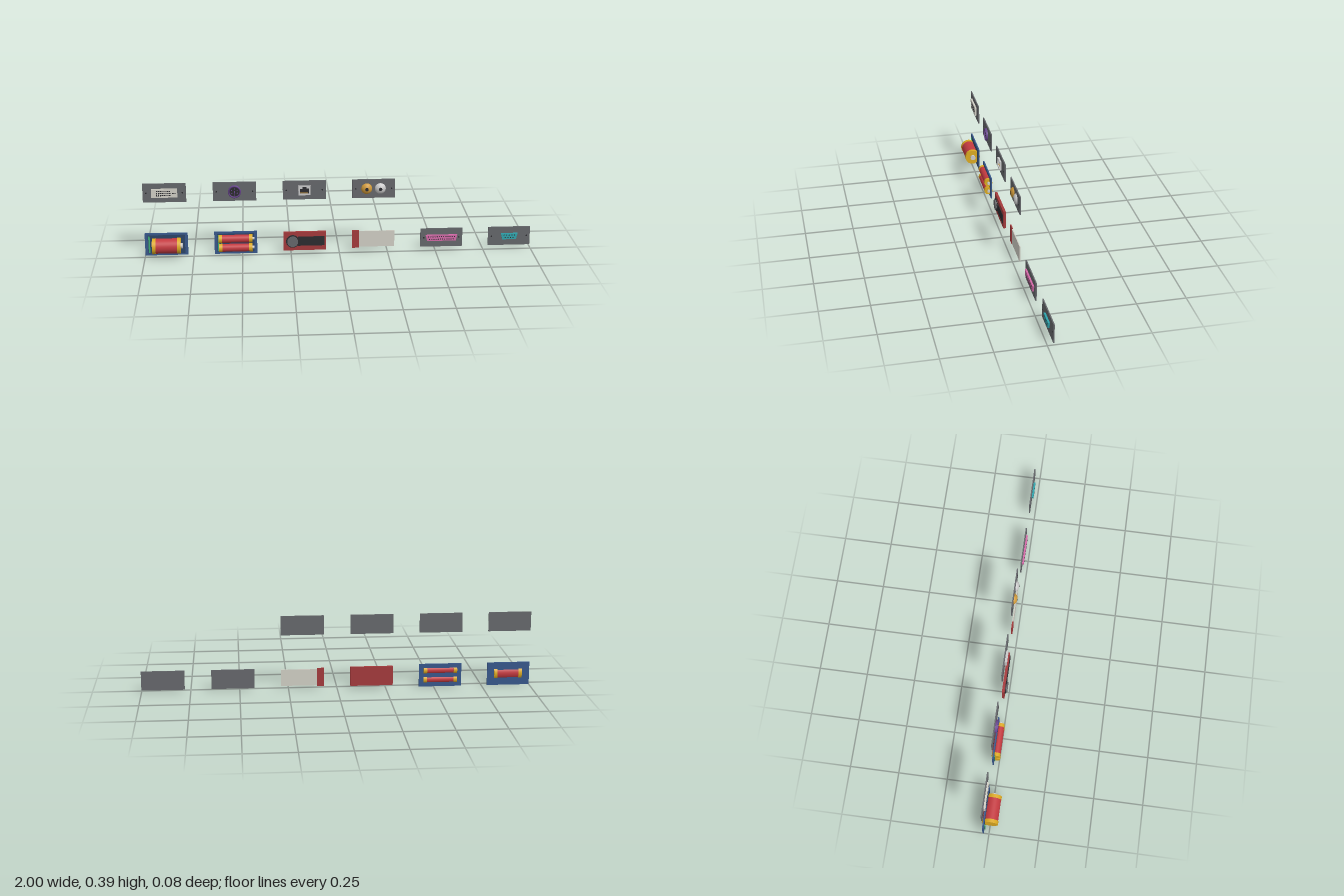
import * as THREE from 'three';

const PITCH = 0.356, LOW = 0.06, HIGH = 0.338, BACK = -0.033, FACE = -0.027;
const colors = {
  plate: 0x66686c, dark: 0x2c2c30, blue: 0x38588c, navy: 0x2c4468, red: 0xc43a40, brick: 0xa53a3c,
  yellow: 0xdcaa22, silver: 0xcccccc, cream: 0xd2d0c6, green: 0x3fae78, pink: 0xd46aa8,
  teal: 0x2fa5ae, purple: 0x6a4690, gold: 0xd09a3a,
};
const mats = {};
for (const k in colors) mats[k] = new THREE.MeshStandardMaterial({ color: colors[k] });

function add(parent, name, geo, mat, x = 0, y = 0, z = 0) {
  const m = new THREE.Mesh(geo, mats[mat]);
  m.name = name;
  m.position.set(x, y, z);
  parent.add(m);
  return m;
}
// box reaching from z0 to z1
function slab(parent, name, mat, x, y, w, h, z0, z1) {
  return add(parent, name, new THREE.BoxGeometry(w, h, z1 - z0), mat, x, y, (z0 + z1) / 2);
}
// disc facing the front, from z0 to z1
function disc(parent, name, mat, x, y, r, z0, z1, seg = 32) {
  const g = new THREE.CylinderGeometry(r, r, z1 - z0, seg).rotateX(Math.PI / 2);
  return add(parent, name, g, mat, x, y, (z0 + z1) / 2);
}
// cylinder along x, from x0 to x1
function rod(parent, name, mat, x0, x1, y, z, r) {
  const g = new THREE.CylinderGeometry(r, r, x1 - x0, 40).rotateZ(Math.PI / 2);
  return add(parent, name, g, mat, (x0 + x1) / 2, y, z);
}
// lathe profile [radius, depth] turned to face the front
function turned(parent, name, mat, x, y, pts) {
  const g = new THREE.LatheGeometry(pts.map(p => new THREE.Vector2(...p)), 32).rotateX(Math.PI / 2);
  return add(parent, name, g, mat, x, y, FACE);
}

function unit(root, name, column, y) {
  const g = new THREE.Group();
  g.name = name;
  g.position.set(-0.89 + column * PITCH, y, 0);
  root.add(g);
  return g;
}

function portPlate(root, name, column, y) {
  const g = unit(root, name, column, y);
  slab(g, 'plate', 'plate', 0, 0, 0.22, 0.1, BACK, FACE);
  for (const s of [-1, 1]) disc(g, 'screw', 'dark', s * 0.092, 0, 0.004, FACE, FACE + 0.001, 12);
  return g;
}

function battery(parent, x0, x1, y, z, r, cap) {
  const g = new THREE.Group();
  g.name = 'battery';
  parent.add(g);
  rod(g, 'sleeve', 'red', x0 + cap, x1 - cap, y, z, r * 0.95);
  rod(g, 'endCap', 'yellow', x0, x0 + cap, y, z, r);
  rod(g, 'endCap', 'yellow', x1 - cap, x1, y, z, r);
  rod(g, 'terminal', 'silver', x1, x1 + 0.01, y, z, r * 0.34);
}

function batteryBoard(root, name, column) {
  const g = unit(root, name, column, LOW);
  slab(g, 'board', 'blue', 0, 0, 0.22, 0.12, BACK, -0.026);
  slab(g, 'tray', 'navy', 0, 0, 0.19, 0.1, -0.026, -0.0245);
  slab(g, 'contactStrip', 'green', -0.088, 0, 0.008, 0.09, -0.026, -0.021);
  return g;
}

// tapered connector with two rows of sockets
function tapered(parent, w, h, mat, pins) {
  const a = w / 2, b = a - 0.008, s = new THREE.Shape();
  s.moveTo(-b, -h / 2); s.lineTo(b, -h / 2); s.lineTo(a, h / 2); s.lineTo(-a, h / 2); s.closePath();
  add(parent, 'connector', new THREE.ExtrudeGeometry(s, { depth: 0.009, bevelEnabled: false }), mat, 0, 0, FACE);
  const step = (w - 0.02) / pins;
  for (let row = 0; row < 2; row++) {
    const n = pins - row;
    for (let i = 0; i < n; i++) {
      disc(parent, 'socket', 'dark', (i - (n - 1) / 2) * step, row ? -0.007 : 0.007, 0.003, -0.018, -0.0174, 10);
    }
  }
}

export function createModel() {
  const root = new THREE.Group();
  root.name = 'partsPanel';

  // battery boards
  battery(batteryBoard(root, 'singleBatteryBoard', 0), -0.071, 0.074, 0, 0, 0.041, 0.018);
  const pair = batteryBoard(root, 'doubleBatteryBoard', 1);
  for (const s of [-1, 1]) battery(pair, -0.088, 0.086, s * 0.0245, -0.0175, 0.0215, 0.018);

  // red unit with a round sensor and a dark window
  const sensor = unit(root, 'sensorUnit', 2, LOW + 0.002);
  slab(sensor, 'body', 'brick', 0, 0, 0.22, 0.1, BACK, -0.02);
  slab(sensor, 'window', 'dark', 0.033, 0, 0.138, 0.05, -0.02, -0.0175);
  disc(sensor, 'sensorRing', 'dark', -0.063, 0, 0.034, -0.02, -0.015);
  disc(sensor, 'sensorFace', 'plate', -0.063, 0, 0.028, -0.015, -0.009);

  // pale card with a red grip
  const card = unit(root, 'card', 3, LOW + 0.003);
  slab(card, 'sheet', 'cream', 0.018, 0, 0.184, 0.086, BACK, -0.028);
  slab(card, 'grip', 'brick', -0.092, 0, 0.036, 0.096, BACK, -0.027);

  // wide and narrow tapered ports
  tapered(portPlate(root, 'widePort', 4, LOW + 0.002), 0.166, 0.032, 'pink', 13);
  tapered(portPlate(root, 'narrowPort', 5, LOW + 0.002), 0.088, 0.032, 'teal', 5);

  // video port: pin grid and cross blade
  const video = portPlate(root, 'videoPort', 0, HIGH);
  slab(video, 'connector', 'cream', 0, 0, 0.132, 0.046, FACE, -0.018);
  for (let r = -1; r <= 1; r++) for (let c = 0; c < 8; c++) {
    slab(video, 'socket', 'dark', -0.038 + c * 0.0095, r * 0.011, 0.006, 0.006, -0.018, -0.0174);
  }
  slab(video, 'blade', 'dark', 0.05, 0, 0.02, 0.004, -0.018, -0.0174);

  // round port: ring, recessed face and a circle of pins
  const round = portPlate(root, 'roundPort', 1, HIGH);
  turned(round, 'ring', 'purple', 0, 0, [[0.033, 0], [0.033, 0.011], [0.026, 0.011], [0.026, 0]]);
  disc(round, 'socketFace', 'dark', 0, 0, 0.026, FACE, -0.021);
  for (let i = 0; i < 6; i++) {
    const a = (i + 0.5) * Math.PI / 3;
    disc(round, 'pinHole', 'purple', Math.cos(a) * 0.016, Math.sin(a) * 0.016, 0.003, -0.021, -0.0204, 10);
  }
  slab(round, 'key', 'purple', 0, -0.002, 0.006, 0.012, -0.021, -0.0204);

  // network port: frame with a stepped opening
  const net = portPlate(root, 'networkPort', 2, HIGH);
  const frame = new THREE.Shape([[-0.031, -0.025], [0.031, -0.025], [0.031, 0.025], [-0.031, 0.025]]
    .map(p => new THREE.Vector2(...p)));
  frame.holes.push(new THREE.Path([[-0.023, -0.018], [-0.023, 0.01], [-0.01, 0.01], [-0.01, 0.019],
    [0.01, 0.019], [0.01, 0.01], [0.023, 0.01], [0.023, -0.018]].map(p => new THREE.Vector2(...p))));
  add(net, 'frame', new THREE.ExtrudeGeometry(frame, { depth: 0.01, bevelEnabled: false }), 'silver', 0, 0, FACE);
  slab(net, 'opening', 'dark', 0, 0, 0.05, 0.042, FACE, -0.024);
  for (let i = 0; i < 8; i++) slab(net, 'contact', 'gold', -0.0175 + i * 0.005, -0.013, 0.002, 0.008, -0.024, -0.022);

  // two domed audio jacks
  const audio = portPlate(root, 'audioPort', 3, HIGH);
  for (const [mat, x] of [['gold', -0.036], ['silver', 0.034]]) {
    const dome = [[0.0285, 0], [0.027, 0.004], [0.023, 0.009], [0.017, 0.013], [0.009, 0.016]];
    turned(audio, 'jackDome', mat, x, 0, dome);
    disc(audio, 'jackHole', 'dark', x, 0, 0.009, FACE, -0.0108, 24);
  }
  return root;
}
